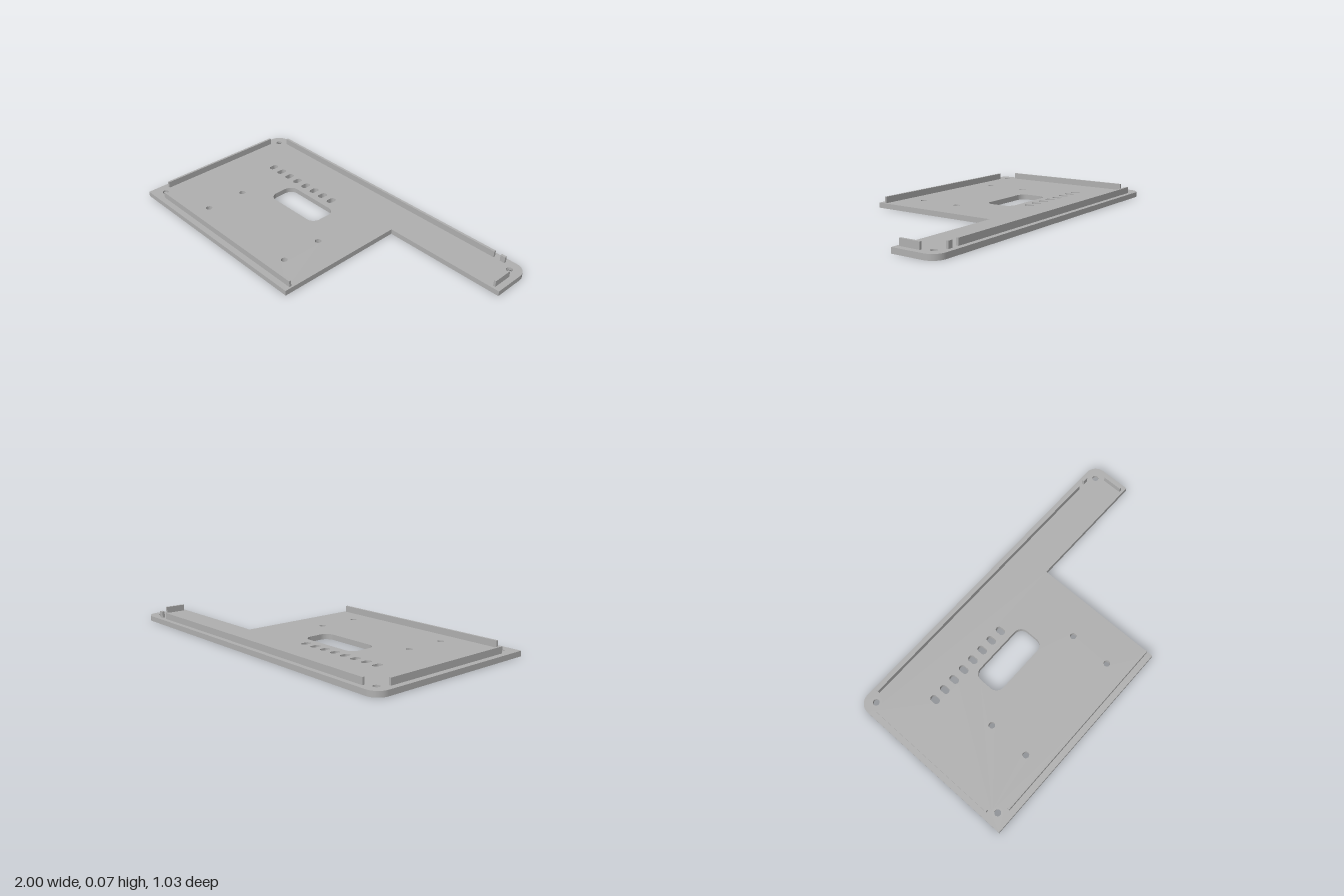
import * as THREE from 'three';

const T = 0.03;        // plate thickness
const RIB_TOP = 0.067; // top of the raised ribs

// Rounded rectangle hole centred on (x, z); shapes are drawn with y = -z
function roundedHole(x, z, w, d, r) {
  const p = new THREE.Path();
  const hx = w / 2 - r, hy = d / 2 - r, cy = -z;
  p.absarc(x + hx, cy + hy, r, 0, Math.PI / 2);
  p.absarc(x - hx, cy + hy, r, Math.PI / 2, Math.PI);
  p.absarc(x - hx, cy - hy, r, Math.PI, Math.PI * 1.5);
  p.absarc(x + hx, cy - hy, r, Math.PI * 1.5, Math.PI * 2);
  p.closePath();
  return p;
}

function roundHole(x, z, r) {
  return new THREE.Path().absarc(x, -z, r, 0, Math.PI * 2);
}

export function createModel() {
  const group = new THREE.Group();
  const grey = new THREE.MeshStandardMaterial({ color: 0xb0b0b0 });
  grey.name = 'grey';

  const add = (name, geometry, x = 0, y = 0, z = 0) => {
    const mesh = new THREE.Mesh(geometry, grey);
    mesh.name = name;
    mesh.position.set(x, y, z);
    group.add(mesh);
  };

  // L-shaped plate with two rounded back corners
  const D = 0.517, R = 0.07;
  const outline = new THREE.Shape();
  outline.moveTo(-1, -D);
  outline.lineTo(0.265, -D);
  outline.lineTo(0.265, 0.265);
  outline.lineTo(1, 0.265);
  outline.absarc(1 - R, D - R, R, 0, Math.PI / 2);
  outline.absarc(-1 + R, D - R, R, Math.PI / 2, Math.PI);
  outline.closePath();

  // Window, row of vent slots and four mounting holes
  outline.holes.push(roundedHole(-0.273, -0.07, 0.38, 0.17, 0.05));
  for (let i = 0; i < 8; i++) {
    outline.holes.push(roundedHole(-0.708 + i * 0.0754, -0.22, 0.037, 0.057, 0.0175));
  }
  for (const x of [-0.61, 0.065]) {
    for (const z of [0.11, 0.355]) outline.holes.push(roundHole(x, z, 0.018));
  }

  // Corner screw holes, wider underneath
  const screws = [[-0.93, -0.45], [0.93, -0.45], [-0.93, 0.445]];
  for (const [x, z] of screws) outline.holes.push(roundHole(x, z, 0.03));

  const plate = new THREE.ExtrudeGeometry(outline, { depth: T, bevelEnabled: false, curveSegments: 12 });
  plate.rotateX(-Math.PI / 2);
  add('plate', plate);

  // Countersunk seat lining each screw hole
  const seat = [[0.03, T], [0.018, T], [0.018, 0.014], [0.03, 0]];
  for (const [x, z] of screws) {
    // Separate bands keep the edges sharp
    for (let i = 0; i < 3; i++) {
      const band = [seat[i], seat[i + 1]].map(([r, y]) => new THREE.Vector2(r, y)).reverse();
      const geometry = new THREE.LatheGeometry(band, 24);
      // Lathe faces must look toward the opening
      const n = geometry.attributes.normal;
      const p = geometry.attributes.position;
      const idx = geometry.index.array;
      const [a, b, c] = [0, 1, 2].map(k => new THREE.Vector3().fromBufferAttribute(p, idx[k]));
      const face = b.clone().sub(a).cross(c.clone().sub(a));
      const wanted = i === 0 ? new THREE.Vector3(0, 1, 0) : new THREE.Vector3(-a.x, 0, -a.z);
      if (face.dot(wanted) < 0) geometry.index.array.reverse();
      const n0 = new THREE.Vector3().fromBufferAttribute(n, 0);
      const p0 = new THREE.Vector3().fromBufferAttribute(p, 0);
      const want0 = i === 0 ? wanted : new THREE.Vector3(-p0.x, 0, -p0.z);
      if (n0.dot(want0) < 0) {
        for (let k = 0; k < n.array.length; k++) n.array[k] *= -1;
      }
      add('screwSeat', geometry, x, 0, z);
    }
  }

  // Raised ribs along the edges: name, x range, z range
  const ribs = [
    ['backRib', -0.882, 0.81, -0.489, -0.475],
    ['backStub', 0.85, 0.88, -0.489, -0.475],
    ['leftRib', 0.952, 0.965, -0.4, -0.28],
    ['rightRib', -0.968, -0.955, -0.4, 0.4],
    ['frontRib', -0.882, 0.255, 0.47, 0.483],
  ];
  const base = T - 0.005;
  for (const [name, x0, x1, z0, z1] of ribs) {
    add(name, new THREE.BoxGeometry(x1 - x0, RIB_TOP - base, z1 - z0),
      (x0 + x1) / 2, (RIB_TOP + base) / 2, (z0 + z1) / 2);
  }

  return group;
}
